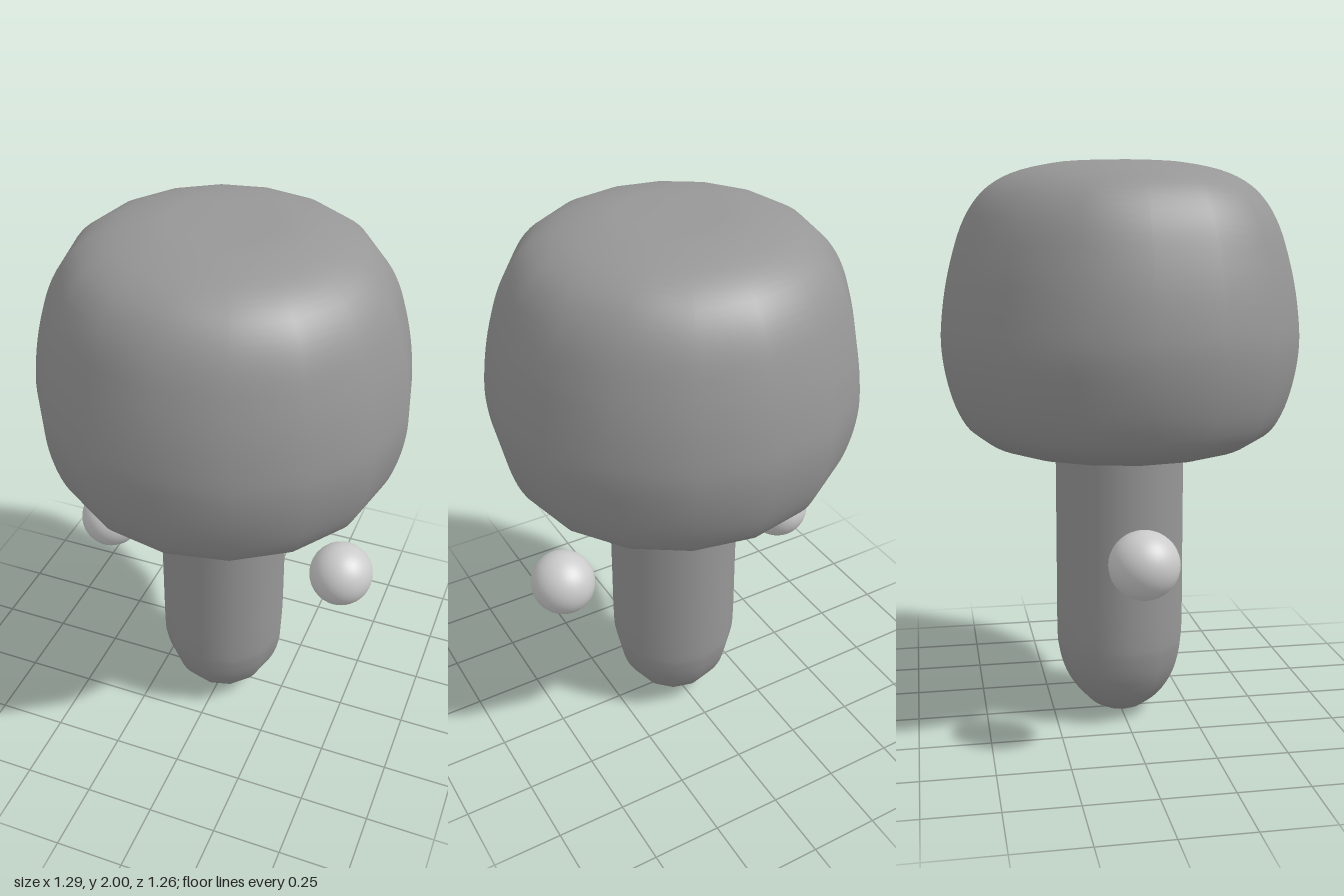
import * as THREE from 'three';

const darkGrey = new THREE.MeshStandardMaterial({ color: 0x979797 });
const lightGrey = new THREE.MeshStandardMaterial({ color: 0xdcdcdc });

// Turns a bottom-to-top list of [radius, height] into a smooth lathed part
function lathePart(name, points, sides) {
  const curve = new THREE.SplineCurve(points.map(([r, y]) => new THREE.Vector2(r, y)));
  const profile = curve.getPoints(points.length * 3);
  const mesh = new THREE.Mesh(new THREE.LatheGeometry(profile, sides), darkGrey);
  mesh.name = name;
  return mesh;
}

export function createModel() {
  const model = new THREE.Group();
  model.name = 'figure';

  // Head: plump dome with a flat underside, slightly narrower in depth
  const head = lathePart('head', [
    [0, 0.985], [0.22, 0.988], [0.36, 0.998], [0.46, 1.02], [0.54, 1.065],
    [0.585, 1.13], [0.615, 1.21], [0.635, 1.3], [0.643, 1.39], [0.637, 1.48],
    [0.622, 1.58], [0.598, 1.68], [0.565, 1.78], [0.52, 1.86], [0.46, 1.92],
    [0.37, 1.965], [0.24, 1.994], [0.12, 1.999], [0, 2],
  ], 16);
  head.scale.z = 0.983;
  model.add(head);

  // Body: straight column with a rounded lower end, its top hidden in the head
  model.add(lathePart('body', [
    [0, 0], [0.06, 0.01], [0.12, 0.045], [0.17, 0.1], [0.208, 0.17],
    [0.229, 0.25], [0.235, 0.33], [0.235, 0.6], [0.235, 1.03],
  ], 12));

  // Hands: a floating ball on each side
  for (const [name, x] of [['leftHand', 0.46], ['rightHand', -0.47]]) {
    const hand = new THREE.Mesh(new THREE.SphereGeometry(0.116, 32, 20), lightGrey);
    hand.name = name;
    hand.position.set(x, 0.685, 0);
    hand.scale.z = 1.03;
    model.add(hand);
  }

  return model;
}
